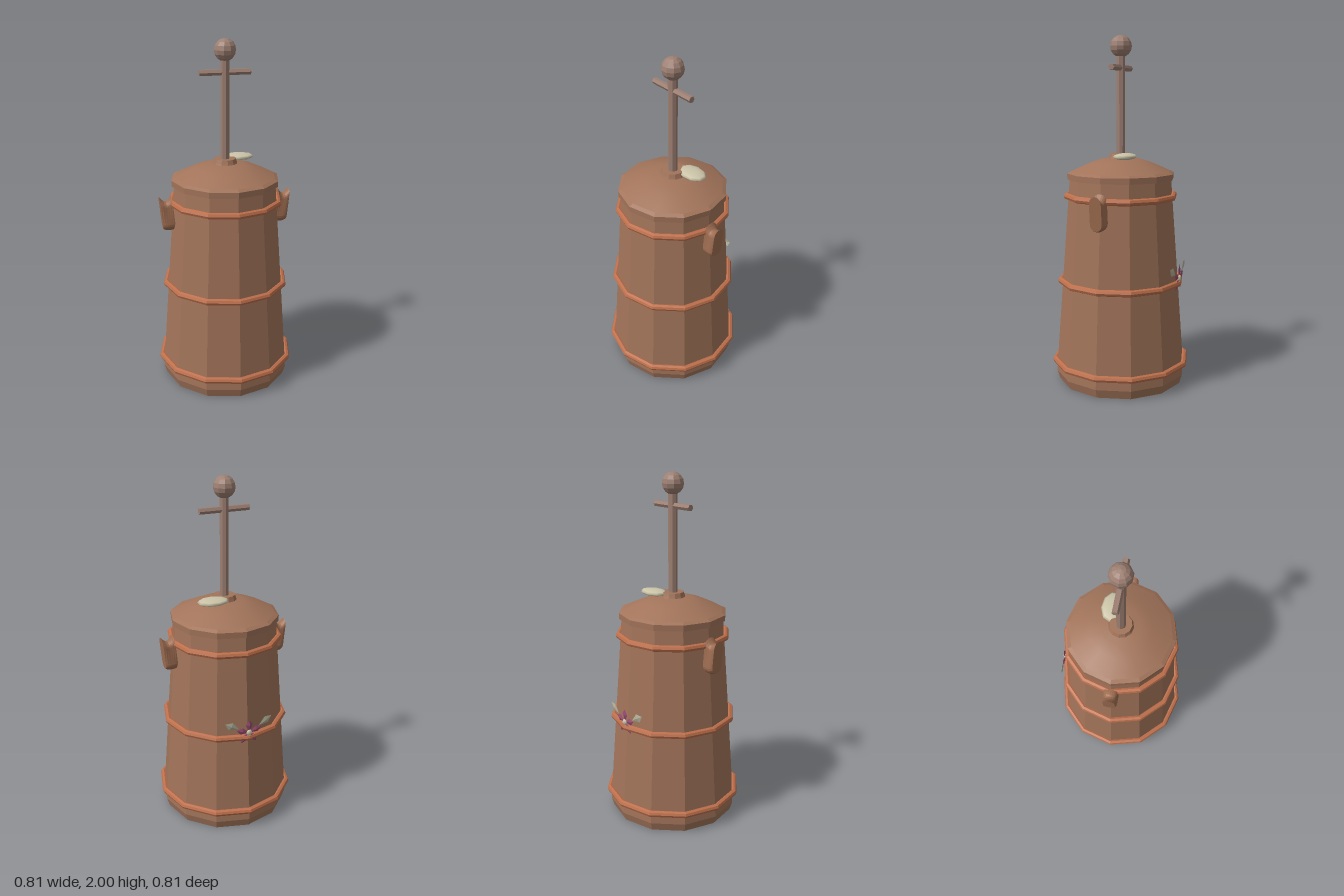
import * as THREE from 'three';

const mat = (name, color, extra = {}) =>
  Object.assign(new THREE.MeshStandardMaterial({ color, ...extra }), { name });

export function createModel() {
  const group = new THREE.Group();
  const flat = { flatShading: true };
  const wood = mat('barrel wood', 0xa2745a, flat);
  const lidWood = mat('lid wood', 0xa2745a);
  const copper = mat('copper hoop', 0xbd6f4b, flat);
  const pole = mat('pole wood', 0x9d7f72, flat);
  const lugWood = mat('lug wood', 0xa06e52, flat);
  const cream = mat('butter cream', 0xcbc4a8);
  const pink = mat('petal pink', 0x984c72, { side: THREE.DoubleSide });
  const leafGreen = mat('leaf grey green', 0xb3b098, { side: THREE.DoubleSide });

  const add = (name, geo, material, x = 0, y = 0, z = 0, parent = group) => {
    const m = new THREE.Mesh(geo, material);
    m.name = name;
    m.position.set(x, y, z);
    parent.add(m);
    return m;
  };
  const lathe = (pts, sides = 12) =>
    new THREE.LatheGeometry(pts.map(p => new THREE.Vector2(...p)), sides);

  // Tapered twelve-sided barrel
  add('barrel', lathe([[0, 0], [0.367, 0], [0.382, 0.05], [0.378, 0.12], [0.296, 1.2], [0, 1.2]]), wood);

  // Hoops
  for (const [r, y] of [[0.388, 0.118], [0.352, 0.598], [0.313, 1.093]]) {
    add('hoop', new THREE.TorusGeometry(r, 0.019, 8, 12), copper, 0, y).rotation.x = Math.PI / 2;
  }

  // Lid: straight rim, smooth dome, collar around the pole
  add('lidRim', lathe([[0.28, 1.19], [0.31, 1.19], [0.311, 1.224], [0.29, 1.236]]), wood);
  add('lidDome', lathe([[0.308, 1.225], [0.25, 1.252], [0.18, 1.283], [0.11, 1.305], [0, 1.316]]), lidWood);
  add('lidCollar', lathe([[0.075, 1.3], [0.068, 1.318], [0.062, 1.336], [0.03, 1.336]]), wood);

  // Plunger
  add('plungerPole', new THREE.CylinderGeometry(0.026, 0.026, 0.6, 8), pole, 0, 1.6);
  add('crossBar', new THREE.CylinderGeometry(0.018, 0.018, 0.29, 6), pole, 0, 1.818).rotation.z = Math.PI / 2;
  add('plungerKnob', new THREE.SphereGeometry(0.062, 10, 8), pole, 0, 1.938);

  // Side lugs: thick capsule plates with a groove across the top edge
  const capsule = new THREE.Shape();
  capsule.absarc(0, 0.06, 0.042, 0, Math.PI);
  capsule.absarc(0, -0.06, 0.042, Math.PI, Math.PI * 2);
  const depth = 0.068;
  const lugGeo = new THREE.ExtrudeGeometry(capsule, { depth, steps: 6, bevelEnabled: false, curveSegments: 5 });
  const p = lugGeo.attributes.position;
  for (let i = 0; i < p.count; i++) {
    const t = p.getZ(i) / depth;
    const groove = Math.sin(Math.PI * t);
    const top = p.getY(i) > 0.05;
    p.setX(i, p.getX(i) * (1 - (top ? 0.15 * groove : 0) - 0.18 * t ** 6));
    p.setY(i, p.getY(i) * (1 - (top ? 0.3 * groove : 0.12 * t ** 4)));
  }
  lugGeo.rotateY(Math.PI / 2);
  lugGeo.translate(-depth / 2, 0, 0);
  lugGeo.computeVertexNormals();
  for (const side of [1, -1]) {
    const holder = new THREE.Group();
    holder.name = side > 0 ? 'leftLug' : 'rightLug';
    holder.rotation.y = side > 0 ? 0 : Math.PI;
    add('lug', lugGeo, lugWood, 0.34, 1.033, 0, holder).rotation.z = -0.1;
    group.add(holder);
  }

  // Butter pat on the lid
  const butter = add('butterPat', new THREE.SphereGeometry(1, 9, 6), cream, 0.093, 1.326, -0.062);
  butter.scale.set(0.092, 0.019, 0.064);

  // Flower on the back: pointed blades folded along the middle
  const blade = (len, w, fold) => {
    const s = new THREE.BufferGeometry();
    const v = [[0, 0, 0], [-w, len * 0.6, 0], [0, len, 0], [w, len * 0.6, 0], [0, len * 0.55, fold]];
    s.setAttribute('position', new THREE.Float32BufferAttribute(
      [[0, 4, 1], [1, 4, 2], [2, 4, 3], [3, 4, 0]].flat().flatMap(i => v[i]), 3));
    s.computeVertexNormals();
    return s;
  };
  const flower = new THREE.Group();
  flower.name = 'flower';
  flower.position.set(0, 0.632, -0.356);
  flower.rotation.set(-0.06, Math.PI, 0);
  group.add(flower);
  const petal = blade(0.08, 0.021, 0.008);
  for (let i = 0; i < 5; i++) {
    add('petal', petal, pink, 0, 0, 0, flower).rotation.z = i * Math.PI * 0.4;
  }
  add('flowerCentre', new THREE.SphereGeometry(0.018, 7, 5), cream, 0, 0, 0.004, flower).scale.z = 0.6;
  const leaf = blade(0.095, 0.025, 0.006);
  for (const side of [1, -1]) {
    add('leaf', leaf, leafGreen, side * 0.06, 0.028, -0.004, flower).rotation.set(0, side * 0.1, -side * 1.05);
  }
  return group;
}
